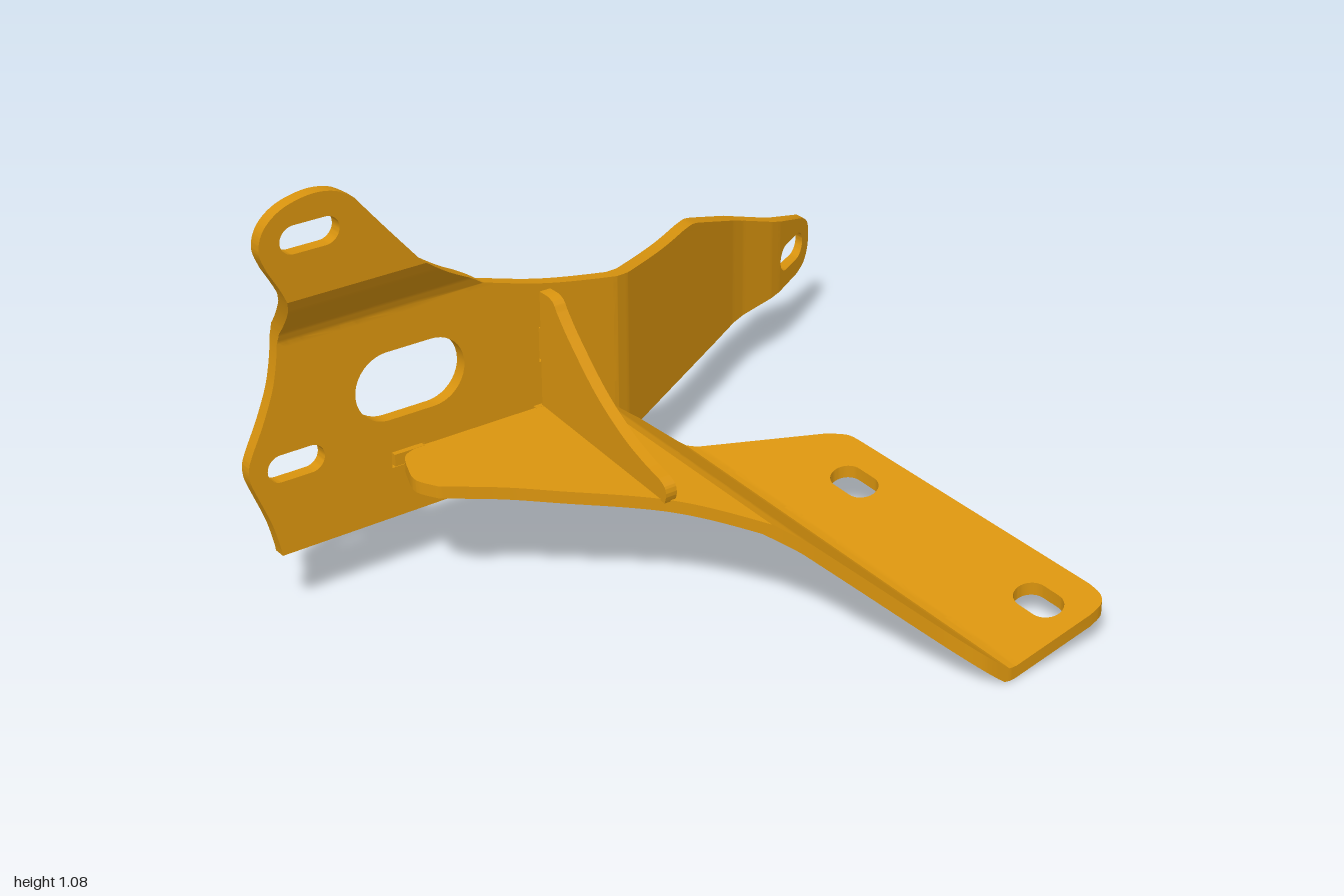
import * as THREE from 'three';
import { toCreasedNormals } from 'three/addons/utils/BufferGeometryUtils.js';

// Piecewise linear lookup through [position, value] pairs
const along = (table) => (t) => {
  let i = 1;
  while (i < table.length - 1 && t > table[i][0]) i++;
  const [a, va] = table[i - 1], [b, vb] = table[i];
  return va + (vb - va) * (t - a) / (b - a);
};

// Splits every triangle where coord(p) = c, so a sheet can fold there
function slice(tris, coord, c) {
  const out = [];
  for (const tri of tris) {
    const d = tri.map((p) => coord(p) - c);
    if (d.every((v) => v > -1e-5) || d.every((v) => v < 1e-5)) { out.push(tri); continue; }
    for (const s of [1, -1]) {
      const poly = [];
      for (let i = 0; i < 3; i++) {
        const j = (i + 1) % 3;
        if (d[i] * s >= 0) poly.push(tri[i]);
        if (d[i] * d[j] < 0) poly.push(tri[i].clone().lerp(tri[j], d[i] / (d[i] - d[j])));
      }
      for (let i = 2; i < poly.length; i++) out.push([poly[0], poly[i - 1], poly[i]]);
    }
  }
  return out;
}

// Flat blank of unit depth -> sliced at the folds -> moved into its bent form
function bentSheet(shape, folds, place) {
  const pos = new THREE.ExtrudeGeometry(shape, { depth: 1, bevelEnabled: false, curveSegments: 10 }).attributes.position;
  let tris = [];
  for (let i = 0; i < pos.count; i += 3) {
    tris.push([0, 1, 2].map((k) => new THREE.Vector3().fromBufferAttribute(pos, i + k)));
  }
  for (const [coord, tables] of folds) {
    for (const [c] of tables.flat()) {
      for (const e of [-0.012, 0, 0.012]) tris = slice(tris, coord, c + e);
    }
  }
  const geo = new THREE.BufferGeometry().setFromPoints(tris.flat().map(place));
  return toCreasedNormals(geo, 0.4);
}

const pts = (list) => list.map(([x, y]) => new THREE.Vector2(x, y));

// Outline from runs: a run of several points is a smooth curve, a single point a straight line
function outline(start, runs) {
  const s = new THREE.Shape().moveTo(...start);
  for (const run of runs) run.length === 1 ? s.lineTo(...run[0]) : s.splineThru(pts(run));
  return s.closePath();
}

// Round-ended slot: centre, half length, half width, angle
function slot(cx, cy, half, r, angle = 0) {
  const k = half - r, dx = Math.cos(angle) * k, dy = Math.sin(angle) * k;
  const p = new THREE.Path();
  p.absarc(cx + dx, cy + dy, r, angle - Math.PI / 2, angle + Math.PI / 2, false);
  p.absarc(cx - dx, cy - dy, r, angle + Math.PI / 2, angle + Math.PI * 1.5, false);
  return p.closePath();
}

const rect = (cx, cy, w, h) => new THREE.Path(pts([
  [cx - w / 2, cy - h / 2], [cx + w / 2, cy - h / 2], [cx + w / 2, cy + h / 2], [cx - w / 2, cy + h / 2]])).closePath();

export function createModel() {
  const model = new THREE.Group();
  const steel = new THREE.MeshStandardMaterial({ color: 0xd8930e });
  steel.name = 'ochre steel';
  const add = (name, geo) => {
    const m = new THREE.Mesh(geo, steel);
    m.name = name;
    model.add(m);
    return m;
  };
  // Tabs that lock shelf and gusset into the back plate: x, y, width, height
  const tabs = [[-0.2, 0.325, 0.08, 0.03], [-0.59, 0.325, 0.08, 0.03], [-0.205, 0.5, 0.03, 0.08]];

  // Back plate with a swept wing and a stepped upper ear
  const plate = outline([-0.93, 0.175], [
    [[-0.415, 0.178]], [[-0.405, 0.187]], [[-0.402, 0.215]], [[-0.395, 0.234], [-0.378, 0.24]],
    [[-0.28, 0.24]], [[-0.262, 0.234], [-0.255, 0.215]], [[-0.252, 0.187]], [[-0.24, 0.18]],
    [[0.5, 0.183]], [[0.93, 0.19]], [[0.972, 0.205], [0.995, 0.24], [0.998, 0.285], [0.99, 0.315], [0.965, 0.337]],
    [[0.65, 0.46]], [[0.41, 0.565]], [[0.375, 0.577], [0.33, 0.582]],
    [[0.2, 0.588], [0, 0.615], [-0.2, 0.652], [-0.375, 0.702]],
    [[-0.40, 0.72]], [[-0.50, 0.785], [-0.60, 0.86]],
    [[-0.69, 0.965], [-0.765, 1.055]], [[-0.81, 1.082], [-0.87, 1.09], [-0.94, 1.073], [-0.985, 1.035], [-0.998, 0.985], [-0.98, 0.935]],
    [[-0.935, 0.85], [-0.908, 0.74], [-0.92, 0.62], [-0.95, 0.53], [-0.985, 0.455]],
    [[-0.998, 0.42], [-0.997, 0.385], [-0.985, 0.35]], [[-0.95, 0.26], [-0.932, 0.19]],
  ]);
  plate.holes.push(
    slot(-0.875, 0.995, 0.073, 0.034), slot(-0.88, 0.395, 0.073, 0.034),
    slot(-0.576, 0.515, 0.145, 0.086), slot(0.893, 0.272, 0.068, 0.037),
    ...tabs.map(([x, y, w, h]) => rect(x, y, w + 0.01, h + 0.01)));
  const wingFront = [[-1, -0.32], [0, -0.32], [0.04, -0.333], [0.61, -0.664], [0.66, -0.686], [0.78, -0.72], [0.82, -0.737], [1, -0.841]];
  const wingBack = [[-1, -0.352], [-0.01, -0.352], [0.03, -0.365], [0.6, -0.697], [0.65, -0.718], [0.77, -0.752], [0.81, -0.768], [1, -0.868]];
  const earFront = [[0.1, 0], [0.7, 0], [0.73, 0.012], [0.82, 0.094], [0.85, 0.112], [1.1, 0.125]];
  const earBack = [[0.1, 0], [0.71, 0], [0.745, 0.012], [0.835, 0.094], [0.865, 0.112], [1.1, 0.125]];
  const zf = along(wingFront), zb = along(wingBack), ef = along(earFront), eb = along(earBack);
  add('backPlate', bentSheet(plate,
    [[(p) => p.x, [wingFront, wingBack]], [(p) => p.y, [earFront, earBack]]],
    (p) => new THREE.Vector3(p.x, p.y, THREE.MathUtils.lerp(zb(p.x) + eb(p.y), zf(p.x) + ef(p.y), p.z))));

  // Shelf: drawn in x and -z, folded down and then out into a slotted flange
  const shelf = outline([-0.56, 0.318], [
    [[-0.61, 0.30], [-0.635, 0.25], [-0.645, 0.2], [-0.615, 0.15]],
    [[-0.5, 0.075], [-0.4, -0.005], [-0.2, -0.175], [-0.07, -0.37], [0, -0.52], [0.07, -0.71]],
    [[0.105, -0.79], [0.15, -0.843], [0.215, -0.862]],
    [[0.46, -0.855]], [[0.5, -0.845], [0.52, -0.82], [0.525, -0.78]],
    [[0.47, -0.03]], [[0.462, 0.01], [0.43, 0.05]],
    [[0.17, 0.235]], [[0.065, 0.325]], [[0.04, 0.318]],
  ]);
  shelf.holes.push(slot(0.365, -0.135, 0.066, 0.04, 1.63), slot(0.407, -0.74, 0.064, 0.041, 1.63));
  const top = [[-0.8, 0.312], [-0.09, 0.312], [-0.05, 0.293], [0.15, 0.131], [0.165, 0.121], [0.185, 0.12], [0.6, 0.203]];
  const under = [[-0.8, 0.281], [-0.1, 0.281], [-0.06, 0.262], [0.14, 0.099], [0.155, 0.088], [0.18, 0.088], [0.6, 0.171]];
  const yTop = along(top), yUnder = along(under);
  const across = (p) => p.x + 0.055 * p.y;
  add('shelf', bentSheet(shelf, [[across, [top, under]]], (p) => {
    const u = across(p);
    return new THREE.Vector3(p.x, THREE.MathUtils.lerp(yUnder(u), yTop(u), p.z) + 0.088 * p.y, -p.y);
  }));

  // Gusset: drawn in -z and y, standing between shelf and back plate
  const web = outline([0.322, 0.335], [
    [[0.322, 0.636]], [[0.285, 0.636]], [[0.265, 0.628], [0.25, 0.608]],
    [[0.2, 0.553], [0.1, 0.463], [0, 0.4], [-0.08, 0.367], [-0.15, 0.347]],
    [[-0.17, 0.335], [-0.176, 0.315], [-0.17, 0.293]],
  ]);
  const webGeo = new THREE.ExtrudeGeometry(web, { depth: 0.03, bevelEnabled: false });
  webGeo.rotateY(Math.PI / 2).translate(-0.22, 0, 0);
  add('gusset', toCreasedNormals(webGeo, 0.4));

  // Locking tabs, slightly recessed in the back plate
  for (const [x, y, w, h] of tabs) {
    add('lockingTab', new THREE.BoxGeometry(w, h, 0.03)).position.set(x, y, -0.329);
  }
  return model;
}
